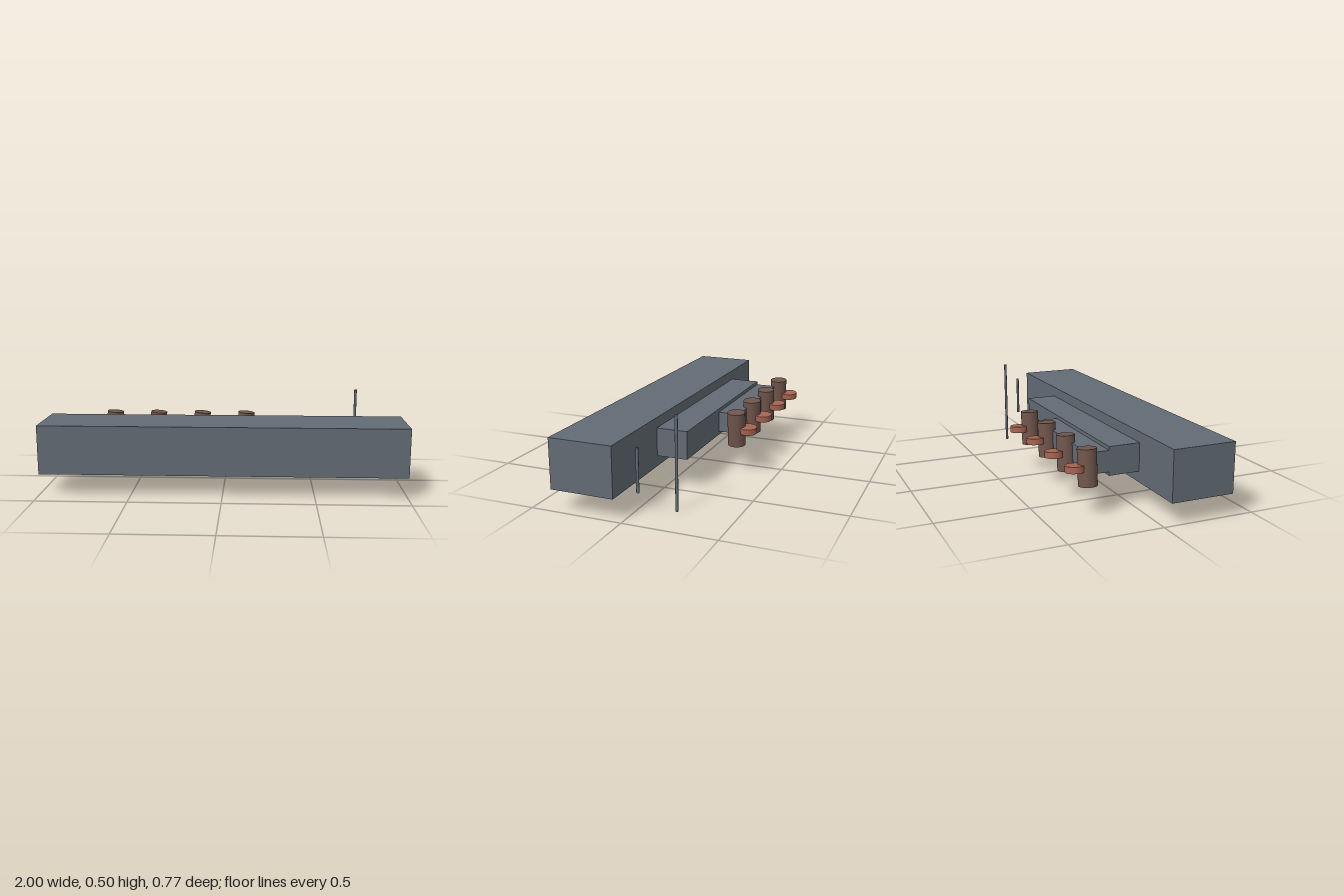
import * as THREE from 'three';

export function createModel() {
  const model = new THREE.Group();
  model.name = 'ship';

  const grey = new THREE.MeshStandardMaterial({ color: 0x626b74 });
  grey.name = 'slateGrey';
  const brown = new THREE.MeshStandardMaterial({ color: 0x70564c });
  brown.name = 'funnelBrown';
  const red = new THREE.MeshStandardMaterial({ color: 0xa56451 });
  red.name = 'bandRed';

  const add = (parent, name, geometry, material, x, y, z) => {
    const mesh = new THREE.Mesh(geometry, material);
    mesh.name = name;
    mesh.position.set(x, y, z);
    parent.add(mesh);
    return mesh;
  };

  // Block given by its extents on each axis
  const block = (name, [x0, x1], [y0, y1], [z0, z1]) =>
    add(model, name, new THREE.BoxGeometry(x1 - x0, y1 - y0, z1 - z0), grey,
      (x0 + x1) / 2, (y0 + y1) / 2, (z0 + z1) / 2);

  // Hull and two stepped decks, stacked toward the back
  block('hull', [-1, 1], [0.116, 0.385], [0.04, 0.385]);
  block('lowerDeck', [-0.66, 0.498], [0.174, 0.328], [-0.132, 0.04]);
  block('upperDeck', [-0.66, 0.035], [0.194, 0.308], [-0.25, -0.132]);

  // Thin masts
  const mast = (name, x, z, y0, y1) =>
    add(model, name, new THREE.CylinderGeometry(0.0077, 0.0077, y1 - y0, 16), grey,
      x, (y0 + y1) / 2, z);
  mast('tallMast', 0.767, -0.191, 0, 0.501);
  mast('shortMast', 0.921, -0.055, 0.136, 0.366);

  // Row of four raked funnels, each with an offset band disc
  const funnelGeometry = new THREE.CylinderGeometry(0.0492, 0.0492, 0.19, 32);
  const bandGeometry = new THREE.CylinderGeometry(0.0492, 0.0492, 0.034, 32);
  for (let i = 0; i < 4; i++) {
    const funnel = new THREE.Group();
    funnel.name = 'funnel' + (i + 1);
    funnel.position.set(-0.694 + i * 0.2685, 0.2505, -0.267);
    funnel.rotation.z = -0.084;
    add(funnel, 'funnelTube', funnelGeometry, brown, 0, 0, 0);
    add(funnel, 'funnelBand', bandGeometry, red, 0, 0, -0.068);
    model.add(funnel);
  }

  return model;
}
